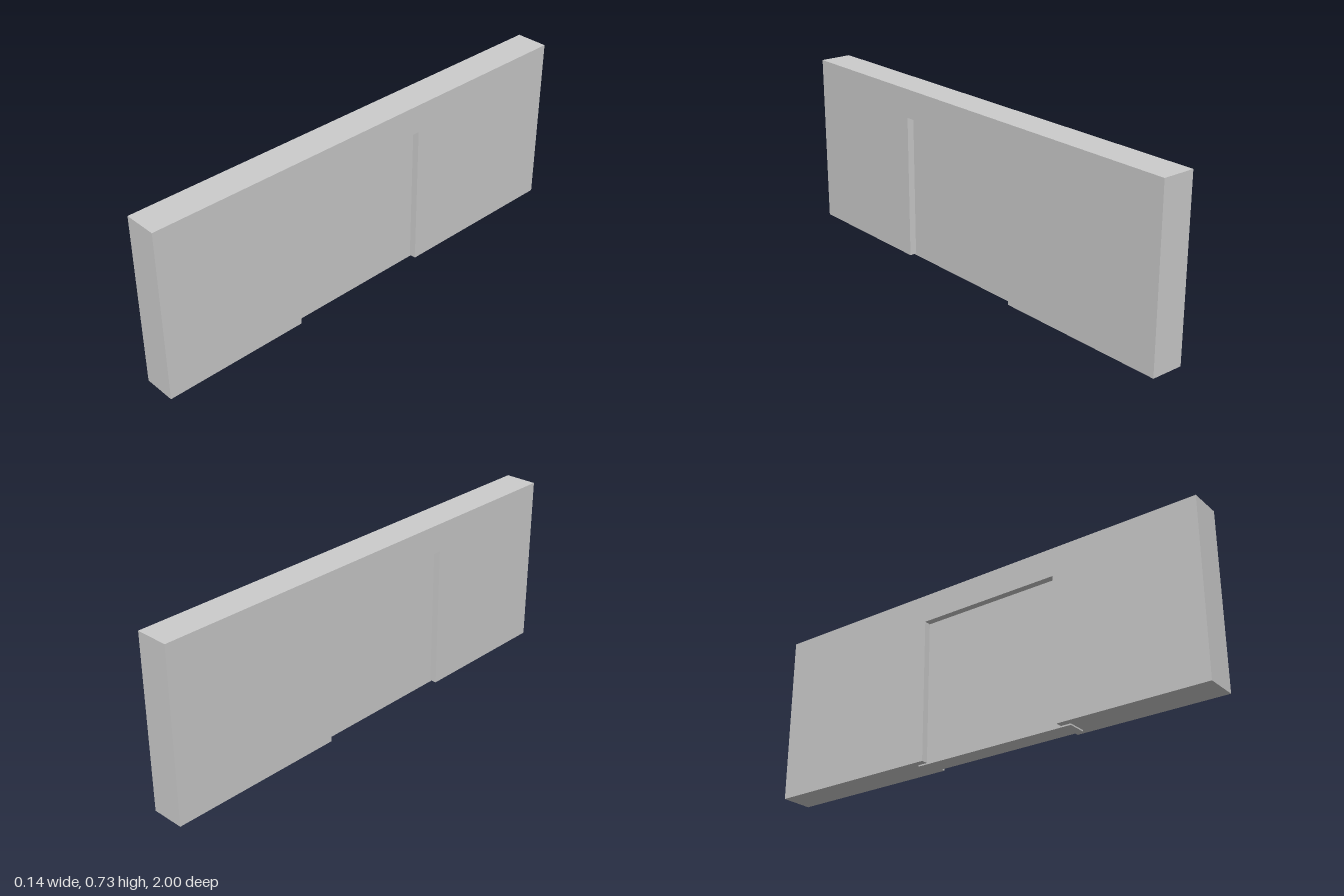
import * as THREE from 'three';

export function createModel() {
  const group = new THREE.Group();
  const material = new THREE.MeshStandardMaterial({ color: 0xcccccc, flatShading: true });

  const wallThickness = 0.138, wallBottom = 0.006, wallTop = 0.73;
  const doorway = { back: -0.247, front: 0.38, top: 0.61 };
  const overlap = 0.042; // how far the door panel runs into the wall

  // Wall outline (along z, y) with an off-centre doorway notch
  const outline = new THREE.Shape([
    [-1, wallBottom], [doorway.back, wallBottom], [doorway.back, doorway.top],
    [doorway.front, doorway.top], [doorway.front, wallBottom], [1, wallBottom],
    [1, wallTop], [-1, wallTop],
  ].map(([z, y]) => new THREE.Vector2(z, y)));
  const wallGeometry = new THREE.ExtrudeGeometry(outline, { depth: wallThickness, bevelEnabled: false });
  wallGeometry.translate(0, 0, -wallThickness / 2);
  wallGeometry.rotateY(-Math.PI / 2); // outline runs along +z
  const wall = new THREE.Mesh(wallGeometry, material);
  wall.name = 'wall';
  group.add(wall);

  // Recessed door panel, wider than the doorway and reaching just below the wall
  const height = doorway.top + overlap;
  const width = doorway.front - doorway.back + 2 * overlap;
  const door = new THREE.Mesh(new THREE.BoxGeometry(0.08, height, width), material);
  door.position.set(0, height / 2, (doorway.front + doorway.back) / 2);
  door.name = 'doorPanel';
  group.add(door);

  return group;
}
